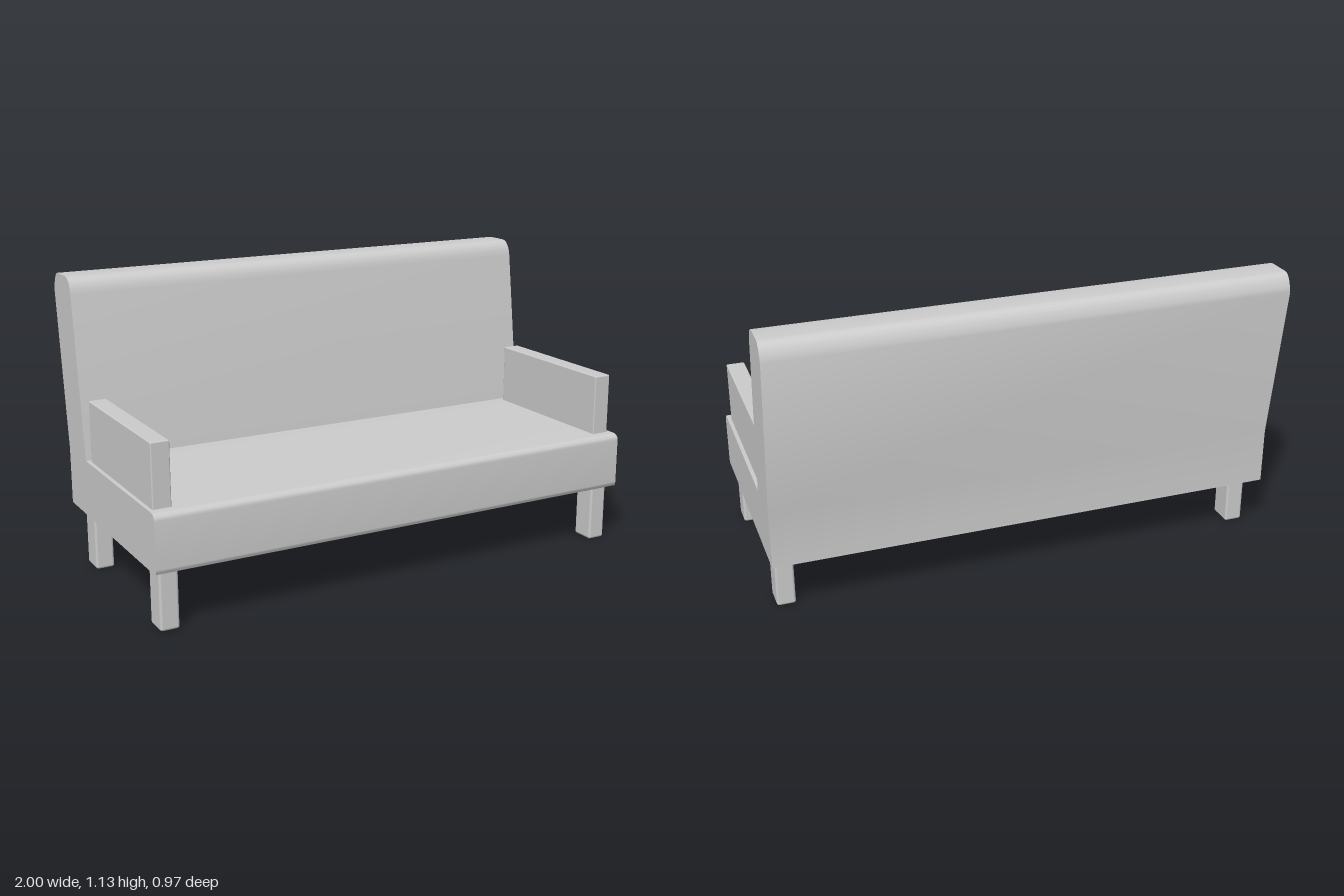
import * as THREE from 'three';
import { toCreasedNormals } from 'three/addons/utils/BufferGeometryUtils.js';
import { RoundedBoxGeometry } from 'three/addons/geometries/RoundedBoxGeometry.js';

const material = new THREE.MeshStandardMaterial({ color: 0xcccccc });

// Rounded box given by its extents along each axis
function block(name, [x0, x1], [y0, y1], [z0, z1], radius, segments) {
  const geometry = new RoundedBoxGeometry(x1 - x0, y1 - y0, z1 - z0, segments, radius);
  const mesh = new THREE.Mesh(geometry, material);
  mesh.position.set((x0 + x1) / 2, (y0 + y1) / 2, (z0 + z1) / 2);
  mesh.name = name;
  return mesh;
}

// Seat and leaning backrest: one side profile (z, y) run across the full width
function seatAndBack() {
  const s = new THREE.Shape();
  s.moveTo(-0.4, 0.225);
  s.lineTo(0.472, 0.225);
  s.quadraticCurveTo(0.488, 0.225, 0.488, 0.245);
  s.lineTo(0.488, 0.42);
  s.quadraticCurveTo(0.488, 0.446, 0.458, 0.446);
  s.lineTo(-0.21, 0.446);
  s.lineTo(-0.293, 1.07);
  s.quadraticCurveTo(-0.303, 1.133, -0.35, 1.133);
  s.lineTo(-0.437, 1.133);
  s.quadraticCurveTo(-0.47, 1.133, -0.486, 1.065);
  s.lineTo(-0.4, 0.446);
  s.closePath();

  const geometry = new THREE.ExtrudeGeometry(s, { depth: 2, bevelEnabled: false, curveSegments: 6 });
  geometry.translate(0, 0, -1);
  geometry.rotateY(-Math.PI / 2);
  const mesh = new THREE.Mesh(toCreasedNormals(geometry, 0.6), material);
  mesh.name = 'seatAndBack';
  return mesh;
}

export function createModel() {
  const sofa = new THREE.Group();
  sofa.name = 'sofa';
  sofa.add(seatAndBack());

  for (const [side, sx] of [['left', 1], ['right', -1]]) {
    const span = (a, b) => (sx > 0 ? [a, b] : [-b, -a]);

    // Armrest slab standing on the seat
    sofa.add(block(side + 'Armrest', span(0.914, 0.985), [0.435, 0.685], [-0.19, 0.437], 0.005, 2));

    // Front and back legs, sunk slightly into the seat
    sofa.add(block(side + 'FrontLeg', span(0.905, 0.978), [0, 0.24], [0.36, 0.455], 0.01, 2));
    sofa.add(block(side + 'BackLeg', span(0.905, 0.978), [0, 0.24], [-0.31, -0.21], 0.01, 2));
  }
  return sofa;
}
